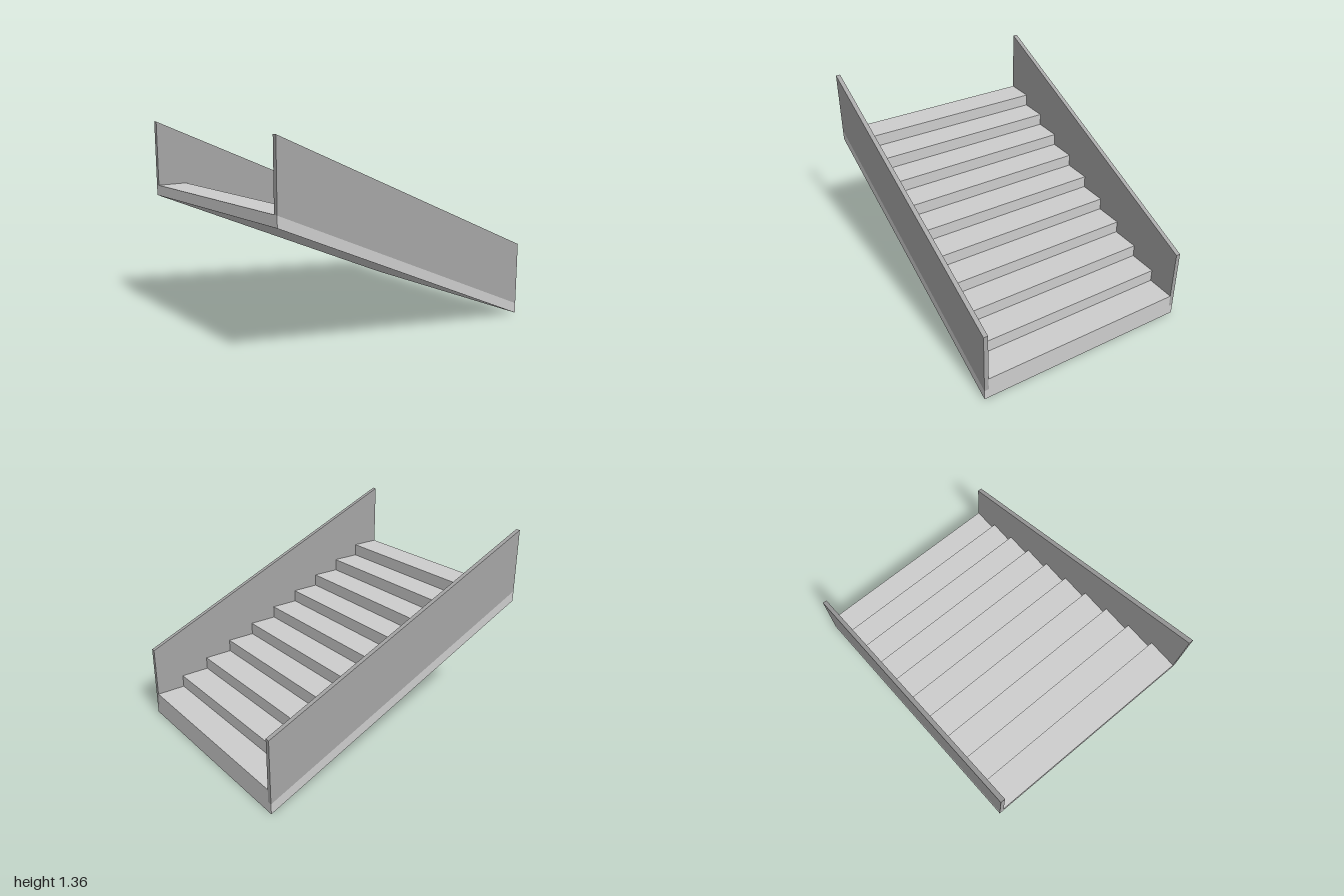
import * as THREE from 'three';

const STEPS = 10, RUN = 0.2, RISE = 0.0855;
const HALF = 0.745, WALL = 0.03, SLAB = 0.07, WALL_TOP = 0.5;
const TOTAL = STEPS * RISE;

// Extrudes a side profile of [z, y] points across x, centred on the given x
function across(points, width, x, material, name) {
  const shape = new THREE.Shape(points.map(([z, y]) => new THREE.Vector2(z, y)));
  const geometry = new THREE.ExtrudeGeometry(shape, { depth: width, bevelEnabled: false });
  geometry.translate(0, 0, -width / 2).rotateY(-Math.PI / 2);
  const mesh = new THREE.Mesh(geometry, material);
  mesh.position.x = x;
  mesh.name = name;
  return mesh;
}

// Sloping band between two heights above the underside
const band = (low, high) => [[-1, low], [1, TOTAL + low], [1, TOTAL + high], [-1, high]];

export function createModel() {
  const group = new THREE.Group();
  group.name = 'staircase';
  const stepGrey = new THREE.MeshStandardMaterial({ color: 0xcccccc });
  stepGrey.name = 'light grey';
  const wallGrey = new THREE.MeshStandardMaterial({ color: 0xa5a5a5 });
  wallGrey.name = 'mid grey';

  // Flight of steps with a sloping underside, climbing towards the front
  const profile = [[-1, 0], [1, TOTAL], [1, TOTAL + SLAB]];
  for (let i = STEPS - 1; i >= 0; i--) {
    const z = -1 + i * RUN, y = SLAB + (i + 1) * RISE;
    if (i < STEPS - 1) profile.push([z + RUN, y]);
    profile.push([z, y]);
  }
  group.add(across(profile, 2 * (HALF - WALL), 0, stepGrey, 'steps'));

  // Side stringers with the solid balustrades standing on them
  for (const [side, label] of [[1, 'left'], [-1, 'right']]) {
    const x = side * (HALF - WALL / 2);
    group.add(across(band(0, SLAB), WALL, x, stepGrey, label + 'Stringer'));
    group.add(across(band(SLAB, WALL_TOP), WALL, x, wallGrey, label + 'Balustrade'));
  }
  return group;
}
